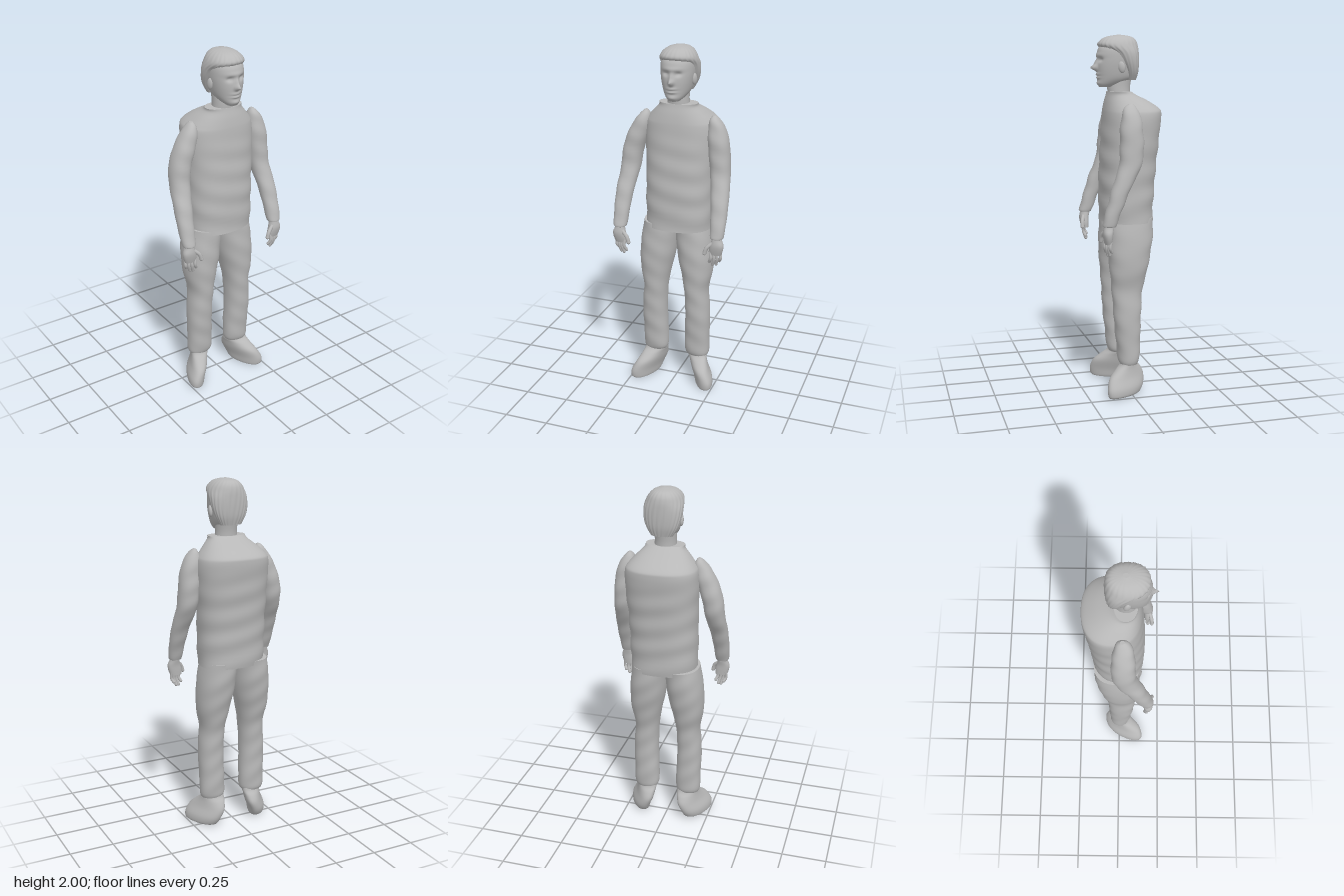
import * as THREE from 'three';

const grey = new THREE.MeshStandardMaterial({ color: 0xb8b8b8 });
grey.name = 'plain grey';

const bump = (d, w) => Math.exp(-(d * d) / (w * w));

// Smooth interpolation of the cross-section numbers
function sample(rows, t) {
  const i = Math.min(Math.floor(t), rows.length - 2), f = t - i;
  const at = (k) => rows[Math.max(0, Math.min(rows.length - 1, k))];
  return rows[i].map((b, k) => {
    const a = at(i - 1)[k], c = at(i + 1)[k], d = at(i + 2)[k];
    return b + 0.5 * f * (c - a + f * (2 * a - 5 * b + 4 * c - d + f * (3 * (b - c) + d - a)));
  });
}

// Closed body through horizontal rounded sections [y, xMin, xMax, zMin, zMax], listed upward
function loft(name, rows, { n = 2.2, sides = 40, steps = 5, shear = 0, deform } = {}) {
  const pos = [], index = [], p = new THREE.Vector3();
  const levels = (rows.length - 1) * steps;
  for (let j = 0; j <= levels; j++) {
    const [y, x0, x1, z0, z1] = sample(rows, j / steps);
    for (let i = 0; i < sides; i++) {
      const a = (i / sides) * Math.PI * 2, c = Math.cos(a), s = Math.sin(a);
      const dz = Math.sign(s) * Math.abs(s) ** (2 / n) * (z1 - z0) / 2;
      const dx = Math.sign(c) * Math.abs(c) ** (2 / n) * (x1 - x0) / 2;
      p.set((x0 + x1) / 2 + dx + shear * dz, y, (z0 + z1) / 2 + dz);
      if (deform) deform(p, a);
      pos.push(p.x, p.y, p.z);
      if (j < levels) {
        const A = j * sides + i, B = j * sides + (i + 1) % sides;
        index.push(A, A + sides, B, B, A + sides, B + sides);
      }
    }
  }
  // Flat caps with their own corners, so the rims stay sharp
  for (const top of [false, true]) {
    const src = top ? levels * sides : 0, base = pos.length / 3, mid = [0, 0, 0];
    for (let i = 0; i < sides; i++) {
      for (let k = 0; k < 3; k++) {
        const v = pos[(src + i) * 3 + k];
        pos.push(v);
        mid[k] += v / sides;
      }
      const A = base + i, B = base + (i + 1) % sides, C = base + sides;
      index.push(...(top ? [C, B, A] : [C, A, B]));
    }
    pos.push(...mid);
  }
  const g = new THREE.BufferGeometry();
  g.setAttribute('position', new THREE.Float32BufferAttribute(pos, 3));
  g.setIndex(index);
  g.computeVertexNormals();
  const m = new THREE.Mesh(g, grey);
  m.name = name;
  return m;
}

const mirror = (rows, side) => side > 0 ? rows : rows.map(([y, a, b, c, d]) => [y, -b, -a, c, d]);

// Tapered finger: tube with a round tip
function finger(name, pts, r) {
  const g = new THREE.Group();
  g.name = name;
  const v = pts.map((q) => new THREE.Vector3(...q));
  const tip = new THREE.Mesh(new THREE.SphereGeometry(r, 10, 8), grey);
  tip.position.copy(v[v.length - 1]);
  g.add(new THREE.Mesh(new THREE.TubeGeometry(new THREE.CatmullRomCurve3(v), 8, r, 8), grey), tip);
  return g;
}

function hand(side) {
  const g = new THREE.Group();
  g.name = side > 0 ? 'leftHand' : 'rightHand';
  g.add(loft('palm', mirror([
    [0.89, 0.243, 0.312, 0.14, 0.178], [0.92, 0.243, 0.322, 0.138, 0.186],
    [0.95, 0.25, 0.324, 0.136, 0.19], [0.98, 0.258, 0.312, 0.13, 0.185], [1.01, 0.26, 0.31, 0.125, 0.18],
  ], side), { sides: 20, steps: 3 }));
  for (let i = 0; i < 4; i++) {
    const x = 0.252 + i * 0.017, z = 0.168 - i * 0.006, end = [0.845, 0.828, 0.83, 0.85][i];
    g.add(finger('finger', [[side * x, 0.91, z], [side * (x + 0.004), 0.87, z + 0.006],
      [side * (x - 0.006), end, z - 0.004]], 0.009));
  }
  g.add(finger('thumb', [[side * 0.265, 0.96, 0.172], [side * 0.234, 0.93, 0.184], [side * 0.224, 0.9, 0.186]], 0.011));
  return g;
}

function arm(side) {
  const rows = mirror([
    [0.985, 0.252, 0.315, 0.12, 0.185], [1.0, 0.245, 0.322, 0.115, 0.19],
    [1.1, 0.237, 0.327, 0.075, 0.162], [1.2, 0.225, 0.325, 0.03, 0.132],
    [1.3, 0.208, 0.316, -0.025, 0.095], [1.4, 0.195, 0.31, -0.043, 0.086],
    [1.5, 0.185, 0.3, -0.04, 0.082], [1.57, 0.187, 0.277, -0.03, 0.07],
    [1.61, 0.195, 0.25, -0.015, 0.055], [1.632, 0.21, 0.228, 0.005, 0.03],
  ], side);
  // The shoulders sit slightly towards the model's left
  const deform = (p) => {
    if (side < 0) p.x += 0.045 * THREE.MathUtils.smoothstep(p.y, 1.36, 1.63);
    p.z += 0.002 * Math.sin(p.y * 60 + p.x * 25);
  };
  return loft(side > 0 ? 'leftSleeve' : 'rightSleeve', rows, { sides: 32, deform });
}

function leg(side) {
  const rows = mirror([
    [0.17, 0.066, 0.192, -0.045, 0.055], [0.2, 0.055, 0.2, -0.055, 0.065],
    [0.3, 0.056, 0.2, -0.06, 0.075], [0.4, 0.06, 0.203, -0.062, 0.086],
    [0.5, 0.06, 0.2, -0.067, 0.093], [0.6, 0.054, 0.192, -0.076, 0.1],
    [0.7, 0.036, 0.21, -0.1, 0.108], [0.8, 0.014, 0.214, -0.122, 0.115],
    [0.9, 0.002, 0.207, -0.138, 0.115], [1.0, -0.005, 0.19, -0.143, 0.11],
  ], side);
  const deform = (p) => { p.z += 0.002 * Math.sin(p.y * 50 + p.x * 30); };
  return loft(side > 0 ? 'leftTrouserLeg' : 'rightTrouserLeg', rows, { deform });
}

// Shoe turned outward, its heel slightly lifted
function shoe(side) {
  const rows = mirror([
    [0, 0.135, 0.225, -0.04, 0.138], [0.012, 0.127, 0.235, -0.06, 0.145],
    [0.05, 0.116, 0.23, -0.08, 0.146], [0.1, 0.095, 0.205, -0.086, 0.13],
    [0.14, 0.08, 0.19, -0.07, 0.088], [0.17, 0.07, 0.185, -0.048, 0.055],
    [0.21, 0.075, 0.18, -0.04, 0.045],
  ], side);
  return loft(side > 0 ? 'leftShoe' : 'rightShoe', rows, { sides: 32, shear: side * 0.38 });
}

function torso() {
  const deform = (p) => { // soft cloth folds
    const w = 1 - THREE.MathUtils.smoothstep(p.y, 1.4, 1.6);
    p.z += 0.003 * w * Math.sin(p.y * 48 + p.x * 9);
    p.x += 0.002 * w * Math.sin(p.y * 42 + p.z * 12);
  };
  return loft('shirt', [
    [0.975, -0.172, 0.2, -0.15, 0.135], [1.1, -0.176, 0.204, -0.157, 0.137],
    [1.2, -0.176, 0.206, -0.164, 0.137], [1.3, -0.177, 0.21, -0.172, 0.133],
    [1.4, -0.18, 0.217, -0.182, 0.128], [1.5, -0.183, 0.222, -0.192, 0.122],
    [1.57, -0.18, 0.218, -0.199, 0.117], [1.6, -0.165, 0.203, -0.19, 0.114],
    [1.64, -0.128, 0.166, -0.132, 0.107], [1.675, -0.092, 0.132, -0.062, 0.098],
    [1.693, -0.088, 0.128, -0.032, 0.094],
  ], { n: 2.35, sides: 64, deform });
}

function head() {
  const g = new THREE.Group(), cx = 0.022;
  g.name = 'head';
  g.add(loft('neck', [
    [1.66, -0.042, 0.082, -0.03, 0.09], [1.72, -0.04, 0.078, -0.032, 0.095], [1.79, -0.042, 0.08, -0.045, 0.09],
  ], { n: 2 }));

  // Face features pushed out of the front of the skull
  const face = (p) => {
    if (p.z < 0.06) return;
    const x = Math.abs(p.x - cx), f = THREE.MathUtils.smoothstep(p.z, 0.06, 0.12), y = p.y;
    p.z += f * (0.034 * bump(x, 0.012) * bump(y - 1.822, 0.015) + 0.014 * bump(x, 0.01) * bump(y - 1.848, 0.022)
      + 0.006 * bump(y - 1.89, 0.012) * bump(x, 0.055) - 0.013 * bump(x - 0.034, 0.017) * bump(y - 1.866, 0.012)
      + 0.01 * bump(x, 0.024) * (bump(y - 1.786, 0.007) + bump(y - 1.77, 0.007))
      - 0.006 * bump(x, 0.03) * bump(y - 1.778, 0.004) + 0.007 * bump(x, 0.025) * bump(y - 1.738, 0.013));
  };
  g.add(loft('face', [
    [1.718, -0.008, 0.052, 0.075, 0.14], [1.738, -0.03, 0.074, 0.01, 0.149],
    [1.77, -0.05, 0.094, -0.05, 0.151], [1.82, -0.062, 0.106, -0.065, 0.155],
    [1.87, -0.068, 0.112, -0.072, 0.153], [1.92, -0.066, 0.11, -0.072, 0.148],
    [1.96, -0.05, 0.094, -0.06, 0.12], [1.985, -0.025, 0.07, -0.04, 0.085],
  ], { sides: 72, steps: 8, deform: face }));

  const strands = (p, a) => {
    const k = 1 + 0.012 * Math.sin(a * 23 + p.y * 30) + 0.008 * Math.sin(a * 41);
    p.x = cx + (p.x - cx) * k;
    p.z = 0.03 + (p.z - 0.03) * k;
  };
  g.add(loft('hair', [
    [1.755, -0.038, 0.082, -0.06, 0.0], [1.8, -0.064, 0.108, -0.071, 0.015],
    [1.85, -0.079, 0.124, -0.075, 0.045], [1.9, -0.083, 0.128, -0.075, 0.085],
    [1.94, -0.076, 0.12, -0.072, 0.145], [1.97, -0.058, 0.102, -0.062, 0.135],
    [1.99, -0.03, 0.075, -0.038, 0.1], [2.0, 0.01, 0.035, 0.015, 0.045],
  ], { sides: 96, deform: strands }));

  for (const side of [-1, 1]) {
    const ear = new THREE.Mesh(new THREE.SphereGeometry(1, 16, 12), grey);
    ear.name = side > 0 ? 'leftEar' : 'rightEar';
    ear.scale.set(0.012, 0.032, 0.019);
    ear.position.set(cx + side * 0.088, 1.825, 0.038);
    ear.rotation.set(0.15, side * -0.3, 0);
    g.add(ear);
  }
  return g;
}

export function createModel() {
  const model = new THREE.Group();
  model.name = 'standingMan';
  model.add(torso(), head());
  for (const side of [-1, 1]) model.add(arm(side), hand(side), leg(side), shoe(side));
  return model;
}
